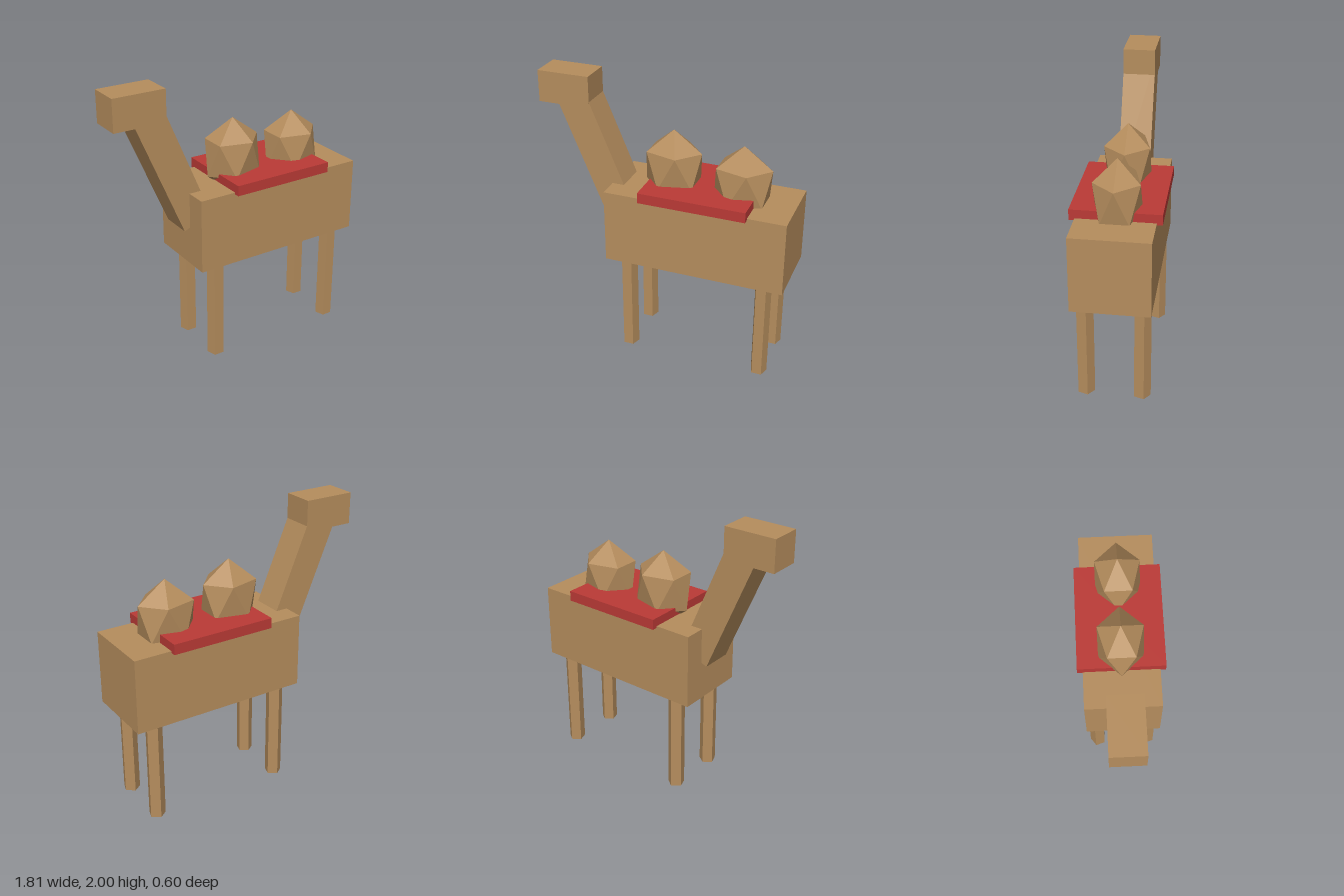
import * as THREE from 'three';
import { ConvexGeometry } from 'three/addons/geometries/ConvexGeometry.js';

const hide = new THREE.MeshStandardMaterial({ color: 0xb58d5d, flatShading: true });
hide.name = 'tan hide';
const cloth = new THREE.MeshStandardMaterial({ color: 0xbb3a36, flatShading: true });
cloth.name = 'red cloth';

function part(name, geometry, material, x, y, z = 0) {
  const mesh = new THREE.Mesh(geometry, material);
  mesh.name = name;
  mesh.position.set(x, y, z);
  return mesh;
}

// Twenty-sided solid standing on a point, with one upper corner towards +x
function humpGeometry(rx, ry, rz) {
  const points = [new THREE.Vector3(0, ry, 0), new THREE.Vector3(0, -ry, 0)];
  const ring = 2 / Math.sqrt(5), level = 1 / Math.sqrt(5);
  for (let i = 0; i < 10; i++) {
    const a = (i * Math.PI) / 5;
    const side = i % 2 === 0 ? 1 : -1;
    points.push(new THREE.Vector3(Math.cos(a) * ring * rx, side * level * ry, Math.sin(a) * ring * rz));
  }
  return new ConvexGeometry(points);
}

export function createModel() {
  const camel = new THREE.Group();
  camel.name = 'camel';

  // Body and saddle blanket
  camel.add(part('body', new THREE.BoxGeometry(1.28, 0.527, 0.525), hide, 0.262, 0.984));
  camel.add(part('blanket', new THREE.BoxGeometry(0.752, 0.073, 0.6), cloth, 0.261, 1.271));

  // Two humps
  const hump = humpGeometry(0.224, 0.27, 0.182);
  camel.add(part('frontHump', hump, hide, 0.035, 1.4));
  camel.add(part('rearHump', hump, hide, 0.527, 1.36));

  // Head and the leaning neck, whose top ends inside the head
  camel.add(part('head', new THREE.BoxGeometry(0.372, 0.222, 0.226), hide, -0.719, 1.889));
  const neck = part('neck', new THREE.BoxGeometry(0.222, 0.94, 0.225), hide, -0.5, 1.456);
  neck.rotation.z = 0.398;
  camel.add(neck);

  // Five-sided legs, flat side forward
  const leg = new THREE.CylinderGeometry(0.06, 0.06, 0.74, 5);
  leg.rotateY(Math.PI);
  for (const [end, x] of [['front', -0.23], ['rear', 0.752]]) {
    for (const [side, z] of [['Left', 0.19], ['Right', -0.19]]) {
      camel.add(part(end + side + 'Leg', leg, hide, x, 0.37, z));
    }
  }
  return camel;
}
